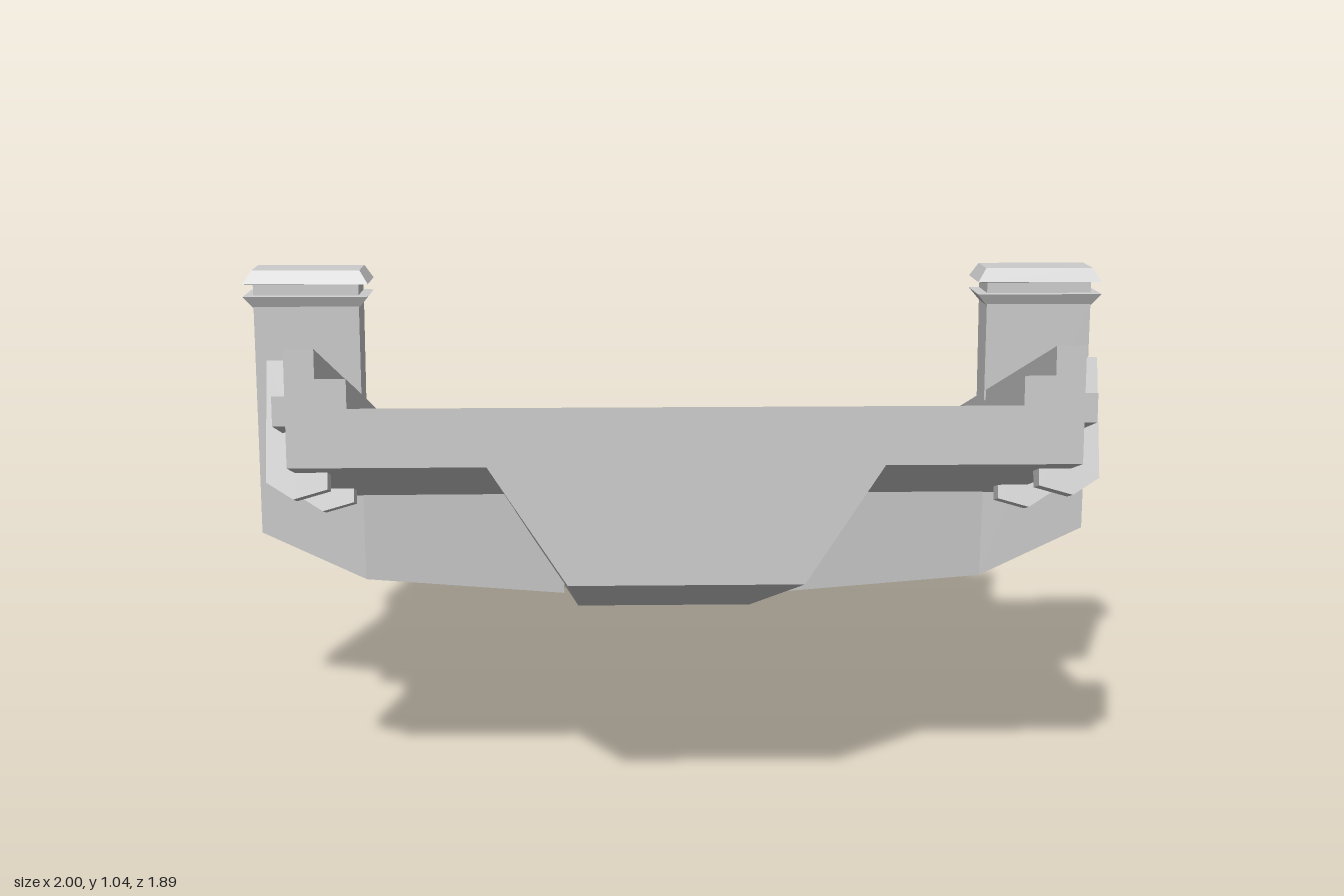
import * as THREE from 'three';

const material = new THREE.MeshStandardMaterial({ color: 0xcccccc, flatShading: true });
const SLOPE = THREE.MathUtils.degToRad(15);
const PIER_Z = 0.04;

function addMesh(parent, geometry, name) {
  const mesh = new THREE.Mesh(geometry, material);
  mesh.name = name;
  parent.add(mesh);
  return mesh;
}

function polygon(points) {
  return new THREE.Shape(points.map(([x, y]) => new THREE.Vector2(x, y)));
}

// Closed solid through four-cornered rings, counter-clockwise seen from the last ring
function loft(rings) {
  const out = [];
  const quad = (a, b, c, d) => out.push(...a, ...b, ...c, ...a, ...c, ...d);
  for (let i = 0; i + 1 < rings.length; i++) {
    const lo = rings[i], hi = rings[i + 1];
    for (let j = 0; j < 4; j++) {
      const k = (j + 1) % 4;
      quad(lo[j], lo[k], hi[k], hi[j]);
    }
  }
  const first = rings[0], last = rings[rings.length - 1];
  quad(first[3], first[2], first[1], first[0]);
  quad(last[0], last[1], last[2], last[3]);
  const geometry = new THREE.BufferGeometry();
  geometry.setAttribute('position', new THREE.Float32BufferAttribute(out, 3));
  geometry.computeVertexNormals();
  return geometry;
}

// Sloping deck with stepped parapets, side bands and a keel: vertical front, square-cut back
function deckGeometry() {
  const half = [
    [0.24, 0.5], [0.4, 0.745], [0.797, 0.745], [0.797, 0.83], [0.823, 0.83], [0.823, 0.89],
    [0.797, 0.89], [0.797, 0.985], [0.737, 0.985], [0.737, 0.925], [0.675, 0.925], [0.675, 0.865],
  ];
  const mirrored = half.map(([x, y]) => [-x, y]).reverse();
  const geometry = new THREE.ExtrudeGeometry(polygon([...half, ...mirrored]), {
    depth: 1, bevelEnabled: false,
  });
  const p = geometry.attributes.position;
  for (let i = 0; i < p.count; i++) {
    if (p.getZ(i) > 0.5) {
      p.setZ(i, 0.948);
    } else {
      const u = (p.getY(i) - 0.5) / 0.485;
      p.setY(i, 0.478 * u);
      p.setZ(i, -0.827 - 0.12 * u);
    }
  }
  geometry.computeVertexNormals();
  return geometry;
}

// Clamp rib: upright strap with a hook under the deck edge
function ribGeometry(side) {
  const points = [
    [0.78, 0], [0.855, 0], [0.855, -0.25], [0.8, -0.285],
    [0.73, -0.265], [0.73, -0.2], [0.78, -0.2],
  ];
  const geometry = new THREE.ExtrudeGeometry(polygon(points.map(([x, y]) => [side * x, y])), {
    depth: 0.064, bevelEnabled: false,
  });
  return geometry.translate(0, 0, -0.032);
}

// Horizontal ring of the pier; the inner and outer sides may sit at different heights
function pierRing(yIn, yOut, halfX, depthIn, depthOut) {
  const a = 0.855 - halfX, b = 0.855 + halfX;
  return [[a, yIn, depthIn], [b, yOut, depthOut], [b, yOut, -depthOut], [a, yIn, -depthIn]];
}

// Upright ring of the support arm, wider at the top
function armRing(x, yLow, depthLow, yHigh, depthHigh) {
  return [[x, yLow, depthLow], [x, yLow, -depthLow], [x, yHigh, -depthHigh], [x, yHigh, depthHigh]];
}

function createPier() {
  const pier = new THREE.Group();
  const level = (y, halfX, depth) => pierRing(y, y, halfX, depth, depth);
  addMesh(pier, loft([
    pierRing(0.305, 0.42, 0.122, 0.046, 0.043),
    level(0.965, 0.122, 0.06),
  ]), 'pierShaft');
  addMesh(pier, loft([
    level(0.957, 0.122, 0.058), level(0.985, 0.145, 0.072), level(0.987, 0.122, 0.06),
    level(1.012, 0.122, 0.06), level(1.014, 0.145, 0.072), level(1.045, 0.125, 0.058),
  ]), 'pierCap');
  addMesh(pier, loft([
    armRing(0.262, 0.27, 0.055, 0.52, 0.077),
    armRing(0.734, 0.305, 0.046, 0.52, 0.066),
  ]), 'supportArm');
  return pier;
}

export function createModel() {
  const model = new THREE.Group();
  model.name = 'slopedBridgeDeck';
  addMesh(model, deckGeometry(), 'deck');

  for (const side of [1, -1]) {
    const label = side > 0 ? 'left' : 'right';

    // Four ribs evenly spaced down the slope
    for (let i = 0; i < 4; i++) {
      const rib = addMesh(model, ribGeometry(side), `${label}Rib${i + 1}`);
      rib.position.set(0, 0.927 - 0.131 * i, 0.74 - 0.492 * i);
      rib.rotation.x = -SLOPE;
    }

    // The pier is symmetric front to back, so a half turn mirrors it
    const pier = createPier();
    pier.name = `${label}Pier`;
    pier.position.z = PIER_Z;
    if (side < 0) pier.rotation.y = Math.PI;
    model.add(pier);
  }
  return model;
}
